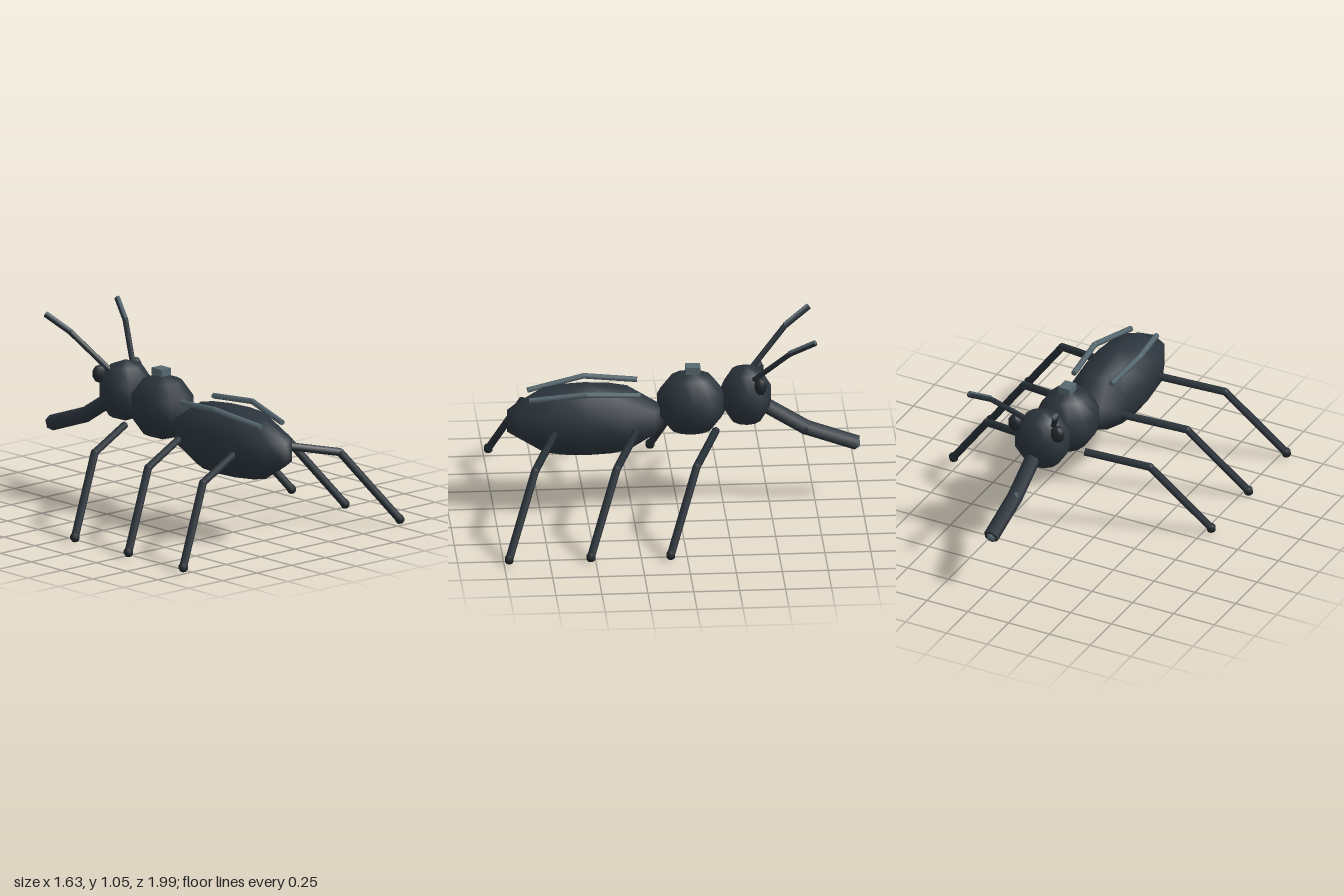
import * as THREE from 'three';

const mat = (name, color) => {
  const m = new THREE.MeshStandardMaterial({ color });
  m.name = name;
  return m;
};

export function createModel() {
  const shell = mat('shell', 0x2b343c);
  const limb = mat('limb', 0x273037);
  const dark = mat('dark', 0x20272c);
  const sheen = mat('sheen', 0x566870);

  const model = new THREE.Group();
  model.name = 'beetle';
  const V = (x, y, z) => new THREE.Vector3(x, y, z);

  const add = (name, geometry, material, parent = model) => {
    const mesh = new THREE.Mesh(geometry, material);
    mesh.name = name;
    parent.add(mesh);
    return mesh;
  };

  // Low-poly ellipsoid
  const blob = (name, center, radii, material, w = 12, h = 5, parent = model) => {
    const g = new THREE.SphereGeometry(1, w, h);
    g.scale(...radii);
    add(name, g, material, parent).position.set(...center);
  };

  // Capped six-sided rod between two points
  const rod = (name, a, b, r, material, parent = model) => {
    const dir = b.clone().sub(a);
    const mesh = add(name, new THREE.CylinderGeometry(r, r, dir.length(), 6), material, parent);
    mesh.position.copy(a).add(b).multiplyScalar(0.5);
    mesh.quaternion.setFromUnitVectors(V(0, 1, 0), dir.normalize());
  };

  // Chain of rods with filled joints
  const chain = (name, points, r, material) => {
    const group = new THREE.Group();
    group.name = name;
    model.add(group);
    for (let i = 0; i < points.length - 1; i++) {
      rod(name + 'Segment', points[i], points[i + 1], r, material, group);
      if (i > 0) blob(name + 'Joint', points[i].toArray(), [r, r, r], material, 8, 6, group);
    }
    return group;
  };

  // Body, with the head toward -z
  blob('abdomen', [0, 0.515, 0.5], [0.2, 0.205, 0.45], shell);
  blob('thorax', [0, 0.595, -0.075], [0.172, 0.185, 0.195], shell);
  blob('head', [0, 0.63, -0.375], [0.16, 0.172, 0.143], shell);
  add('thoraxPlate', new THREE.BoxGeometry(0.07, 0.04, 0.08), sheen).position.set(0, 0.79, -0.085);

  // Drooping snout with a pale tip
  chain('snout', [V(0, 0.58, -0.46), V(0, 0.43, -0.7), V(0, 0.33, -0.98)], 0.043, shell);
  blob('snoutTip', [0, 0.33, -0.972], [0.03, 0.03, 0.028], sheen, 6, 5);

  for (const s of [-1, 1]) {
    blob('eye', [s * 0.13, 0.73, -0.445], [0.043, 0.05, 0.035], dark, 8, 5);

    // Antenna with a pale strip along the top of its outer part
    const bend = V(s * 0.2, 0.945, -0.6);
    const tip = V(s * 0.262, 1.03, -0.735);
    chain('antenna', [V(s * 0.085, 0.75, -0.41), bend, tip], 0.016, limb);
    const lift = V(0, 0.006, 0.003);
    rod('antennaSheen', bend.clone().add(lift), tip.clone().add(lift), 0.013, sheen);

    // Ridges along the back
    chain('backRidge', [V(s * 0.115, 0.69, 0.21), V(s * 0.138, 0.71, 0.5), V(s * 0.078, 0.66, 0.81)], 0.016, sheen);

    // Three legs on each side, swept toward the tail
    for (const z of [-0.2, 0.235, 0.68]) {
      const foot = V(s * 0.79, 0.028, z + 0.292);
      chain('leg', [V(s * 0.165, 0.495, z), V(s * 0.5, 0.422, z + 0.13), foot], 0.022, limb);
      blob('foot', foot.toArray(), [0.028, 0.028, 0.028], dark, 6, 5);
    }
  }

  return model;
}
